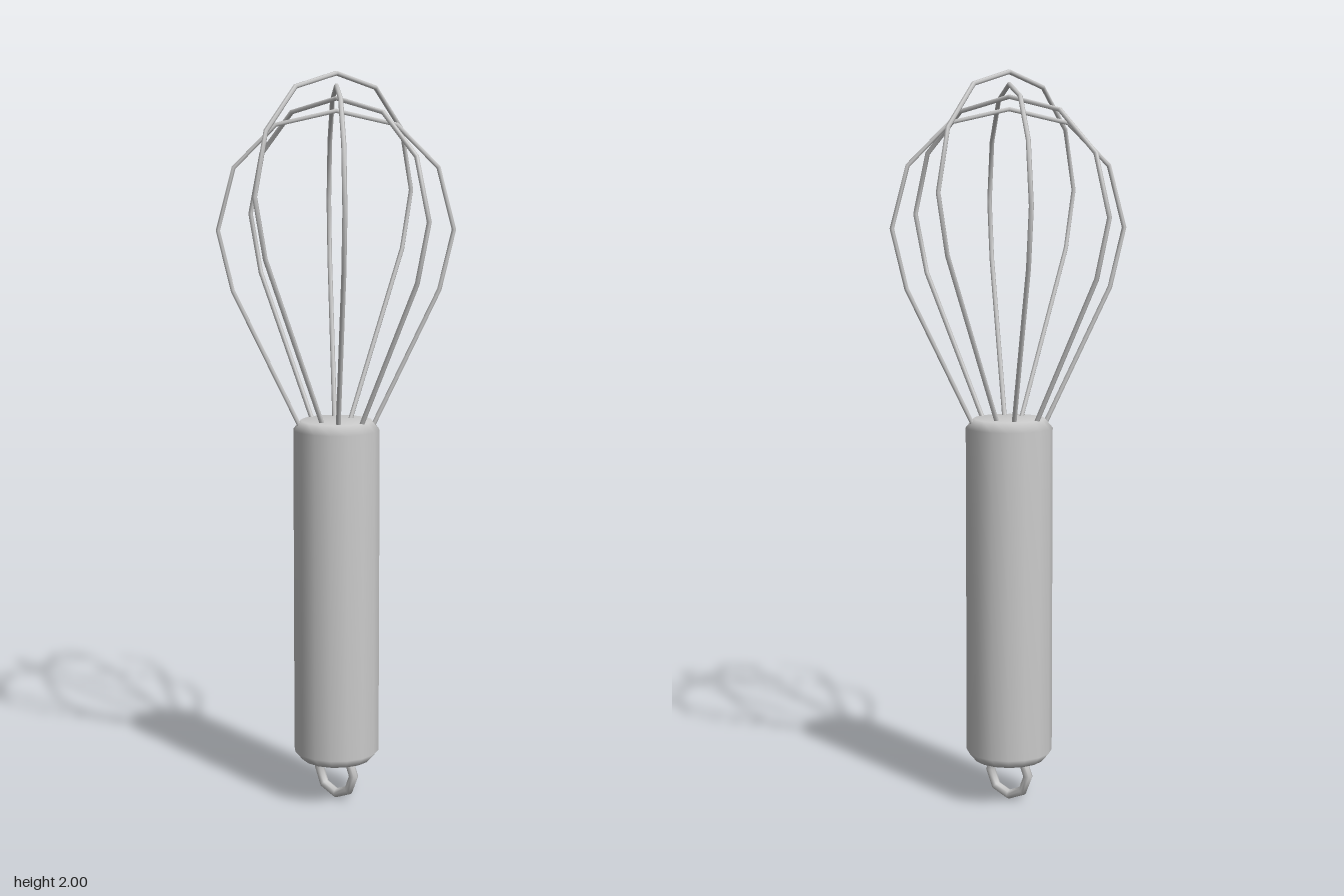
import * as THREE from 'three';

const material = new THREE.MeshStandardMaterial({ color: 0xcccccc });

// Curve that keeps its corner points, with mitred tangents for a faceted wire
class WireCurve extends THREE.Curve {
  constructor(points) {
    super();
    this.points = points;
  }
  getPoint(t) {
    const n = this.points.length - 1;
    const i = Math.min(Math.floor(t * n + 1e-6), n - 1);
    return this.points[i].clone().lerp(this.points[i + 1], t * n - i);
  }
  getPointAt(t) {
    return this.getPoint(t);
  }
  getTangentAt(t) {
    const p = this.points;
    const i = Math.round(t * (p.length - 1));
    const tangent = new THREE.Vector3();
    if (i > 0) tangent.add(p[i].clone().sub(p[i - 1]).normalize());
    if (i < p.length - 1) tangent.add(p[i + 1].clone().sub(p[i]).normalize());
    return tangent.normalize();
  }
}

function addMesh(parent, name, geometry) {
  const mesh = new THREE.Mesh(geometry, material);
  mesh.name = name;
  parent.add(mesh);
  return mesh;
}

export function createModel() {
  const whisk = new THREE.Group();
  whisk.name = 'whisk';

  // Handle: 16-sided cylinder with small chamfers at both ends
  const profile = [
    [0, 0.12], [0.097, 0.12], [0.118, 0.145],
    [0.118, 1.045], [0.097, 1.07], [0, 1.07],
  ].map(([r, y]) => new THREE.Vector2(r, y));
  const handle = addMesh(whisk, 'handle', new THREE.LatheGeometry(profile, 16));
  handle.rotation.y = Math.PI / 16;

  // Hanging ring, its upper part sunk into the handle
  const ring = addMesh(whisk, 'hangingRing', new THREE.TorusGeometry(0.063, 0.013, 8, 8));
  ring.position.y = 0.077;
  ring.rotation.y = Math.PI / 2;

  // Wire loop outline: one side, mirrored across the top point
  const side = [[0.03, 1.008], [0.277, 1.52], [0.315, 1.68], [0.272, 1.845], [0.16, 1.957]];
  const outline = [
    ...side.map(([x, y]) => new THREE.Vector3(-x, y, 0)),
    new THREE.Vector3(0, 1.993, 0),
    ...side.slice().reverse().map(([x, y]) => new THREE.Vector3(x, y, 0)),
  ];
  const wire = new THREE.TubeGeometry(new WireCurve(outline), outline.length - 1, 0.0065, 6, false);

  // Four loops, each turned an eighth and seated a little lower than the last
  const wires = new THREE.Group();
  wires.name = 'wires';
  whisk.add(wires);
  for (let i = 0; i < 4; i++) {
    const loop = addMesh(wires, `wireLoop${i + 1}`, wire);
    loop.rotation.y = (i * Math.PI) / 4;
    loop.position.y = -0.0325 * i;
  }

  return whisk;
}
